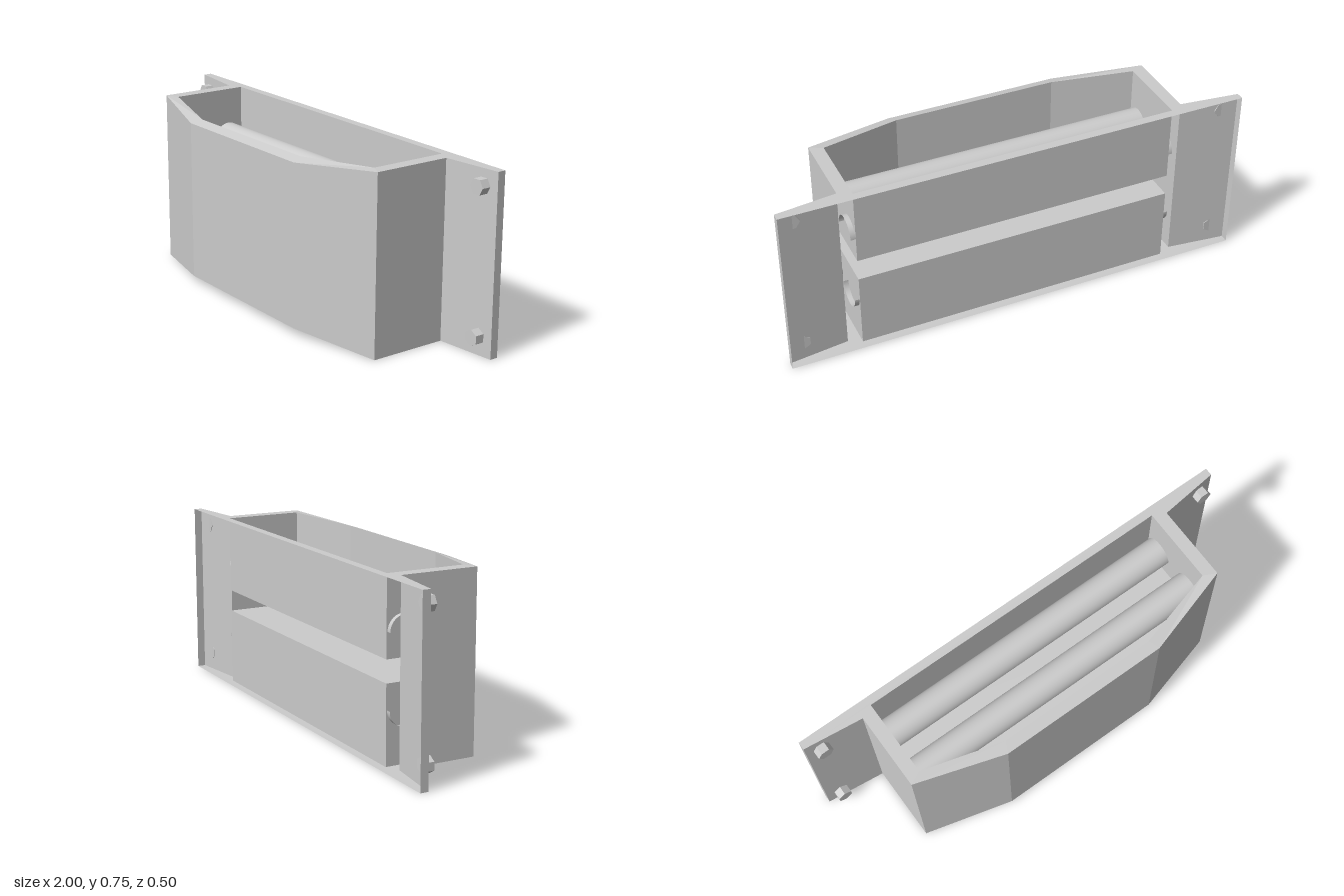
import * as THREE from 'three';

const H = 0.747, FLOOR = 0.42;
const mat = new THREE.MeshStandardMaterial({ color: 0xcccccc, flatShading: true, side: THREE.DoubleSide });
const smooth = new THREE.MeshStandardMaterial({ color: 0xcccccc, side: THREE.DoubleSide });

// Plan outlines as [x, z], right half from back to front, then mirrored
const mirror = half => [...half, ...half.map(([x, z]) => [-x, z]).reverse()];
const outer = mirror([[1, -0.252], [1, -0.218], [0.745, -0.188], [0.745, 0.144], [0.37, 0.253]]);
const inner = mirror([[0.69, -0.215], [0.69, 0.117], [0.35, 0.208]]);

// The upper rim dips toward the front
const rimY = z => H - 0.032 * Math.max(0, (z - 0.144) / 0.109);

function add(parent, name, geometry, material = mat) {
  const mesh = new THREE.Mesh(geometry, material);
  mesh.name = name;
  parent.add(mesh);
  return mesh;
}

// Vertical sheet following an outline between two height rules
function wall(points, low, high, closed) {
  const pos = [];
  const n = points.length;
  for (let i = 0; i < (closed ? n : n - 1); i++) {
    const [ax, az] = points[i], [bx, bz] = points[(i + 1) % n];
    const a = [ax, low(az), az], b = [bx, low(bz), bz];
    const c = [bx, high(bz), bz], d = [ax, high(az), az];
    pos.push(...a, ...d, ...c, ...a, ...c, ...b);
  }
  const g = new THREE.BufferGeometry();
  g.setAttribute('position', new THREE.Float32BufferAttribute(pos, 3));
  g.computeVertexNormals();
  return g;
}

// Horizontal sheet filling an outline, its height set by a rule
function sheet(points, hole, height) {
  const toVec = p => p.map(([x, z]) => new THREE.Vector2(x, -z));
  const shape = new THREE.Shape(toVec(points));
  if (hole) shape.holes.push(new THREE.Path(toVec(hole)));
  const g = new THREE.ShapeGeometry(shape).rotateX(-Math.PI / 2);
  const p = g.attributes.position;
  for (let i = 0; i < p.count; i++) p.setY(i, height(p.getZ(i)));
  g.computeVertexNormals();
  return g;
}

export function createModel() {
  const model = new THREE.Group();
  model.name = 'wallFixture';

  // Outer skin with slanted mounting flanges, open at the back
  add(model, 'outerShell', wall(outer, z => H - rimY(z), rimY, false));

  for (const up of [true, false]) {
    const side = up ? 'upper' : 'lower';
    const flip = y => (up ? y : H - y);
    const rim = z => flip(rimY(z));
    const floor = () => flip(FLOOR);

    // Rim sheet and the recessed tray behind it
    add(model, side + 'Rim', sheet(outer, inner, rim));
    add(model, side + 'TrayWalls', up ? wall(inner, floor, rim, true) : wall(inner, rim, floor, true));
    add(model, side + 'TrayFloor', sheet(inner, null, floor));

    // Two half-round tubes lying in the tray
    for (const z of [-0.145, 0.054]) {
      const g = new THREE.CylinderGeometry(0.066, 0.066, 1.42, 24, 1, true, 0, Math.PI);
      g.rotateZ(Math.PI / 2);
      // turn the curved half to face out of the tray
      if (!up) g.rotateX(Math.PI);
      add(model, side + 'Tube', g, smooth).position.set(0, flip(0.525), z);
    }

    // Hexagonal bolt heads on the flanges
    for (const x of [-0.935, 0.935]) {
      const g = new THREE.CylinderGeometry(0.034, 0.034, 0.038, 6);
      g.rotateY(up ? Math.PI / 6 : 0).rotateX(Math.PI / 2);
      add(model, side + 'Bolt', g).position.set(x, up ? 0.682 : 0.079, -0.191);
    }
  }
  return model;
}
